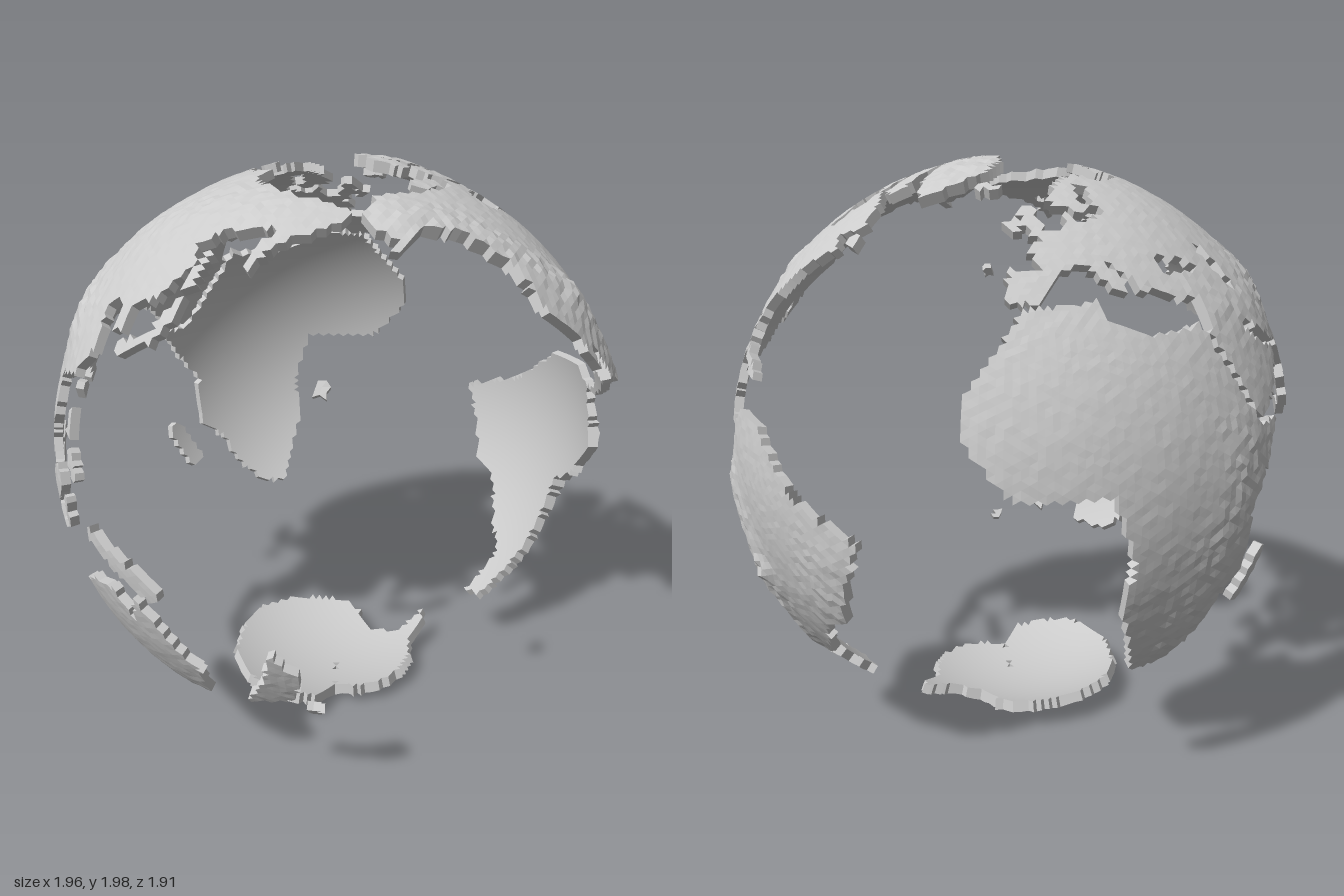
import * as THREE from 'three';

const SURFACE = 0.982, UNDERSIDE = 0.952;

// Main coastlines as lon, lat corners in degrees
const coasts = {
  northAmerica: [-168,66, -156,71, -128,70, -96,68, -86,69.5, -78,62.5, -65,60, -56,52, -66,49.5, -60,46, -70,42,
    -76,36, -81,31, -80.5,25.5, -84,30, -97,29, -97,20, -91,18.5, -87,21.3, -88,16, -83.5,15, -82,9, -77.5,8.5,
    -81,7.5, -94,16, -105,20, -112,30, -110,23, -117,33, -124,40, -124,48, -134,58, -148,60.5, -163,55, -158,58.5, -165,62],
  southAmerica: [-77.5,8.5, -72,12, -62,10.6, -50,0.5, -35.2,-5.5, -39,-14, -42,-23, -48.5,-26, -57,-37, -65,-41,
    -67,-54, -74,-52, -73.5,-37, -70.3,-18.5, -76,-14, -81,-5, -77.5,4],
  africa: [-6,35.8, 10,37, 11,33.5, 19,30.5, 32.5,31.2, 37,21, 43.2,11.6, 51.2,11.8, 40,-3, 40.5,-15.5, 35,-20,
    32.7,-26, 26,-33.8, 18.5,-34.5, 12,-17, 13,-8, 9,4.5, -8,4.5, -17,14.5, -16.5,21, -10,30],
  eurasia: [-9,37, -9,43.4, -1.5,43.5, -4.5,48.3, 8,54, 8.5,57, 5,59, 5,62, 14,68, 28,71, 41,67, 68,68.5, 67,72.5,
    80,73, 104,77.5, 113,74, 140,72.5, 180,69, 190,66, 179,62.5, 163,58, 157,51.2, 156,57, 162,61, 143,59.3,
    136,54.5, 141,52, 135,43.5, 128,40, 129,35.5, 126.5,35, 125,39.5, 121,40.5, 118,38.5, 122,31, 117,23.5,
    108,21.5, 109.3,12.5, 105,9, 100.5,13.3, 103.5,1.5, 98.3,9, 97.5,16.5, 91.5,22.5, 80.3,15, 77.5,8, 73,20,
    67,25, 59.8,22.5, 52,16, 44,12.7, 35,28, 36,36.5, 27.5,37, 23,40.5, 22.7,36.8, 19.5,41, 13.5,45.5, 18,40,
    16,38, 9,44.2, 3.2,43, -2,36.8],
  australia: [114,-22, 129,-13, 136,-12, 140,-17.5, 142.5,-11, 153,-26, 150,-37.3, 140,-38, 131,-31.5, 115.5,-34.5],
  antarctica: [-180,-78, -130,-74, -75,-72, -58,-64, -62,-74, -35,-78, -10,-71, 50,-66.5, 135,-66, 170,-71.5,
    180,-78, 180,-90, -180,-90],
  greenland: [-44,60, -53,67, -70,77, -60,82, -32,83.5, -18,80, -24,70],
  southPacificIsland: [169.5,-16, 175,-22, 173,-30, 161.5,-35, 168,-24],
};

// Long islands as rounded bands: lon, lat to lon, lat, half width in degrees
const islands = {
  arcticIslands: [[-66,64,-80,72.5,2.4], [-84,78,-72,82,2], [-121,72,-107,71,1.6], [54,72,64,76,0.8]],
  atlanticIslands: [[-1,52,-4,57.5,1.5], [-8,53.3,-7.5,54,1.3], [-22,65,-16,65,1], [-83,22.5,-70,19,0.9], [-57,49,-55,48,1.2]],
  eastAsianIslands: [[131.5,33,139,36.2,1], [140,37,142.5,43.3,1.1], [142.7,47,142.7,53.5,0.8]],
  southeastAsianIslands: [[96.5,4.5,105,-5,1.2], [106,-7,114,-8,0.8], [112,-0.5,115.5,2.5,2.8], [120.5,-4.5,120.5,0.5,0.9],
    [121,17.5,121.5,14,0.9], [123.5,10,125.5,7.5,1.2], [132,-2,137,-4,1.3], [139,-5,147,-8,1.9]],
  indianOceanIslands: [[45.5,-23,49,-15,1.8], [80.6,7,80.8,8,1.1]],
  pacificIslets: [[176.5,-36,177,-37,1], [179,32,179,32.5,1]],
};

// Seas and gulfs cut out of the land: bands like the islands
const seas = [
  [-90,61,-82,59,3.2], [-82,57,-80,52.5,1.4], [30.5,43.3,39,43,1.8], [50.5,45,51.5,38.5,1.9], [49.5,29,55,25.8,1.4],
  [57,25.5,62,24,1.1], [5,57.8,11,57.3,0.8], [13,55.2,20,57.5,1.2], [19,60,23,65,1.3],
].map(makeBand);

// Mountain chains and ice caps: bands whose width is the slope, then the height
const highlands = [
  [-78,-3,-68,-20,4,0.018], [-68,-20,-70,-40,4,0.018], [-150,63,-108,38,6,0.016], [-108,38,-99,18,5,0.014],
  [73,37,98,32,8,0.022], [92,48,150,65,9,0.01], [38,35,58,31,6,0.009], [38,9,27,-28,6,0.01], [-45,-19,-42,-12,7,0.008],
  [-42,70,-42,78,10,0.012], [-90,-90,0,-89,28,0.013],
].map(makeBand);

function direction(lon, lat) {
  const a = THREE.MathUtils.degToRad(lon), b = THREE.MathUtils.degToRad(lat);
  return new THREE.Vector3(-Math.cos(b) * Math.sin(a), Math.sin(b), -Math.cos(b) * Math.cos(a));
}

function makeBand([lon1, lat1, lon2, lat2, width, height]) {
  const line = new THREE.Line3(direction(lon1, lat1), direction(lon2, lat2));
  return { line, width: THREE.MathUtils.degToRad(width), height };
}

// Distance from a direction to the middle of a band, in band widths
const nearest = new THREE.Vector3();
function bandDistance({ line, width }, v) {
  return line.closestPointToPoint(v, true, nearest).normalize().distanceTo(v) / width;
}

function inside(poly, lon, lat) {
  let hit = false;
  for (let i = 0, j = poly.length - 2; i < poly.length; j = i, i += 2) {
    const y1 = poly[i + 1], y2 = poly[j + 1];
    if (y1 > lat !== y2 > lat && lon < ((poly[j] - poly[i]) * (lat - y1)) / (y2 - y1) + poly[i]) hit = !hit;
  }
  return hit;
}

const gridOf = (v) => v.toArray().map((n) => Math.round(n * 1e4));
const keyOf = (v) => gridOf(v).join();

// Ground radius: smooth highlands plus fine roughness that grows with height
function groundRadius(v) {
  let h = 0;
  for (const band of highlands) h += band.height * Math.exp(-(bandDistance(band, v) ** 2));
  const [a, b, c] = gridOf(v);
  const s = Math.sin(a * 0.1271 + b * 0.3117 + c * 0.0747) * 43758.55;
  return SURFACE + h + (s - Math.floor(s) - 0.5) * (0.002 + h * 0.5);
}

function meshFrom(points, name, smooth) {
  const g = new THREE.BufferGeometry().setFromPoints(points);
  if (smooth) {
    const normals = points.flatMap((p) => p.clone().normalize().negate().toArray());
    g.setAttribute('normal', new THREE.Float32BufferAttribute(normals, 3));
  } else g.computeVertexNormals();
  const mesh = new THREE.Mesh(g, new THREE.MeshStandardMaterial({ color: 0xcccccc, flatShading: !smooth }));
  mesh.name = name;
  return mesh;
}

// Turns a set of sphere triangles into a thick plate with walls round its coast
function buildPlate(name, faces) {
  const edges = new Set();
  for (const f of faces) f.forEach((v, i) => edges.add(keyOf(v) + '|' + keyOf(f[(i + 1) % 3])));
  const crust = [], under = [];
  for (const f of faces) {
    const up = f.map((v) => v.clone().multiplyScalar(groundRadius(v)));
    const down = f.map((v) => v.clone().multiplyScalar(UNDERSIDE));
    crust.push(...up);
    under.push(down[2], down[1], down[0]);
    for (let i = 0; i < 3; i++) {
      const j = (i + 1) % 3;
      if (edges.has(keyOf(f[j]) + '|' + keyOf(f[i]))) continue;
      crust.push(up[i], down[i], down[j], up[i], down[j], up[j]);
    }
  }
  const plate = new THREE.Group();
  plate.name = name;
  plate.add(meshFrom(crust, name + 'Crust', false), meshFrom(under, name + 'Underside', true));
  return plate;
}

export function createModel() {
  // One test per land mass, on a direction and its lon, lat
  const tests = {};
  for (const [name, poly] of Object.entries(coasts))
    tests[name] = (c, lon, lat) => (inside(poly, lon, lat) || inside(poly, lon + 360, lat))
      && !seas.some((s) => bandDistance(s, c) < 1);
  for (const [name, list] of Object.entries(islands)) {
    const bands = list.map(makeBand);
    tests[name] = (c) => bands.some((b) => bandDistance(b, c) < 1);
  }

  // Sort the triangles of a fine sphere into the land masses
  const pos = new THREE.IcosahedronGeometry(1, 44).attributes.position;
  const names = Object.keys(tests);
  const faces = Object.fromEntries(names.map((n) => [n, []]));
  for (let i = 0; i < pos.count; i += 3) {
    const f = [0, 1, 2].map((k) => new THREE.Vector3().fromBufferAttribute(pos, i + k));
    const c = f[0].clone().add(f[1]).add(f[2]).normalize();
    const lon = THREE.MathUtils.radToDeg(Math.atan2(-c.x, -c.z));
    const lat = THREE.MathUtils.radToDeg(Math.asin(c.y));
    const home = names.find((n) => tests[n](c, lon, lat));
    if (home) faces[home].push(f);
  }

  const globe = new THREE.Group();
  globe.name = 'continentShell';
  for (const name of names) globe.add(buildPlate(name, faces[name]));
  globe.position.set(0, 1, 0.035);
  const model = new THREE.Group();
  model.name = 'hollowGlobe';
  model.add(globe);
  return model;
}
